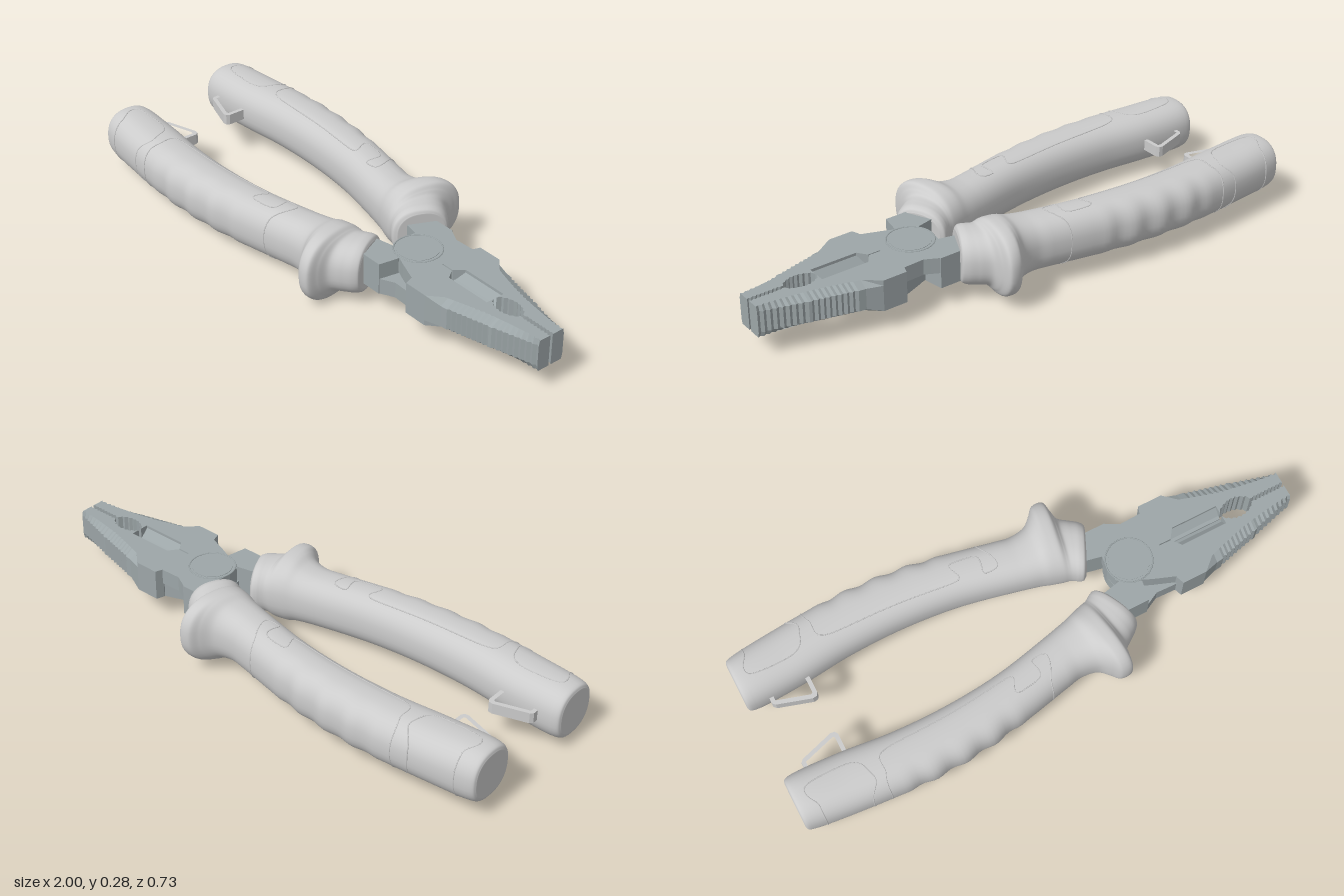
import * as THREE from 'three';

const gripMat = new THREE.MeshStandardMaterial({ color: 0xcccccc });
const steelMat = new THREE.MeshStandardMaterial({ color: 0x9da6a8 });
const H = 0.0575; // half thickness of the steel
const V = (x, y, z) => new THREE.Vector3(x, y, z);

function add(parent, name, geometry, material) {
  const mesh = new THREE.Mesh(geometry, material);
  mesh.name = name;
  parent.add(mesh);
  return mesh;
}

// Flat plate from an outline of [x, z] points, between heights y0 and y1
function plate(points, y0, y1, steps = 1, hole = null) {
  const toVec = ([x, z]) => new THREE.Vector2(x, -z);
  const shape = new THREE.Shape(points.map(toVec));
  if (hole) shape.holes.push(new THREE.Path(hole.map(toVec)));
  const g = new THREE.ExtrudeGeometry(shape, { depth: y1 - y0, steps, bevelEnabled: false });
  return g.rotateX(-Math.PI / 2).translate(0, y0, 0);
}

// Handle stations: inner x, inner z, outer x, outer z, half height
const stations = [
  [-1.0, .15, -1.0, .308, .078], [-.994, .138, -.994, .318, .09], [-.97, .132, -.97, .325, .097],
  [-.8, .138, -.8, .345, .098], [-.6, .158, -.6, .358, .098], [-.4, .16, -.4, .352, .098],
  [-.2, .142, -.2, .325, .098], [0, .1, 0, .283, .098], [.05, .088, .06, .272, .1],
  [.09, .078, .12, .282, .108], [.12, .068, .155, .312, .121], [.145, .06, .18, .338, .125],
  [.165, .054, .218, .337, .123], [.18, .05, .228, .30, .109], [.19, .046, .237, .262, .099],
  [.2, .04, .27, .235, .097], [.21, .033, .298, .214, .096], [.225, .027, .311, .198, .09],
  [.24, .036, .311, .188, .078],
];
const innerCurve = new THREE.CatmullRomCurve3(stations.map(s => V(s[0], s[4], s[1])));
const outerCurve = new THREE.CatmullRomCurve3(stations.map(s => V(s[2], s[4], s[3])));

// Point on the handle surface; angle 0 faces outwards, PI faces the other handle
function gripPoint(t, angle, scale = 1) {
  const a = innerCurve.getPoint(t), b = outerCurve.getPoint(t);
  const round = v => Math.sign(v) * Math.pow(Math.abs(v), 0.84);
  const c = round(Math.cos(angle)) * scale, s = round(Math.sin(angle)) * scale;
  const p = a.clone().lerp(b, 0.5 + 0.5 * c);
  p.y = -0.014 + a.y * s;
  // finger ridges
  const fade = THREE.MathUtils.smoothstep(p.x, -.68, -.58) * (1 - THREE.MathUtils.smoothstep(p.x, -.25, -.15));
  p.z += 0.005 * fade * Math.max(0, c) * Math.sin((p.x + .68) * Math.PI * 2 / .115);
  return p;
}

function gripGeometry() {
  const steps = (stations.length - 1) * 12, sides = 40, pos = [], index = [];
  const rings = [[0, 0], [0, .96]];
  for (let i = 0; i <= steps; i++) rings.push([i / steps, 1]);
  rings.push([1, .96], [1, 0]);
  rings.forEach(([t, scale], i) => {
    for (let j = 0; j < sides; j++) {
      pos.push(...gripPoint(t, j / sides * Math.PI * 2, scale).toArray());
      if (i === rings.length - 1) continue;
      const a = i * sides + j, b = i * sides + (j + 1) % sides;
      index.push(a, a + sides, b, b, a + sides, b + sides);
    }
  });
  const g = new THREE.BufferGeometry();
  g.setAttribute('position', new THREE.Float32BufferAttribute(pos, 3));
  g.setIndex(index);
  g.computeVertexNormals();
  return g;
}

// Closed seam line lying on the handle, from [x, angle] points on its upper half
function seamGeometry(half) {
  const mirrored = half.filter(p => p[1] > 0).reverse().map(([x, a]) => [x, -a]);
  const path = new THREE.CatmullRomCurve3([...half, ...mirrored].map(([x, a]) => V(x, a, 0)), true);
  const pts = path.getPoints(140).slice(0, -1).map(p => {
    let lo = 0, hi = 1;
    for (let k = 0; k < 18; k++) {
      const mid = (lo + hi) / 2;
      if (innerCurve.getPoint(mid).x < p.x) lo = mid; else hi = mid;
    }
    return gripPoint(lo, p.y);
  });
  return new THREE.TubeGeometry(new THREE.CatmullRomCurve3(pts, true), 280, .0022, 5, true);
}

// Zigzag between two points, offset in z
function zigzag(x0, z0, x1, z1, n, depth) {
  return Array.from({ length: n + 1 }, (_, i) => {
    const k = i / n;
    return [x0 + (x1 - x0) * k, z0 + (z1 - z0) * k + (i % 2 ? depth : 0)];
  });
}

function jawGeometry() {
  // outer ribs, tip teeth, then the toothed pipe grip
  const pipe = Array.from({ length: 15 }, (_, i) => {
    const k = i / 14;
    return [.87 - .12 * k, .006 + .028 * Math.pow(Math.sin(Math.PI * k), .7) + (i % 2 ? .005 : 0)];
  });
  const outline = [
    [.5, .002], [.5, .132], [.51, .161], [.6, .161], [.655, .143],
    ...zigzag(.68, .14, .83, .102, 16, -.006), ...zigzag(.84, .099, 1, .054, 16, -.006),
    ...zigzag(1, .005, .88, .005, 16, .005), ...pipe,
    [.75, .036], [.575, .036], [.55, .002],
  ].map(([x, z]) => [x, -z]);
  const g = plate(outline, -H, H, 6);
  // chamfer the outer edges above and below the ribs
  const p = g.attributes.position;
  for (let i = 0; i < p.count; i++) {
    const x = p.getX(i), z = p.getZ(i);
    if (Math.abs(p.getY(i)) > H - .005 && x > .64 && z < -.044)
      p.setZ(i, z + .032 * Math.min(1, (1.02 - x) / .15));
  }
  g.computeVertexNormals();
  return g;
}

// Wedge whose edge meets the opposite cutter along z = 0
function cutterGeometry() {
  const s = new THREE.Shape([[.04, -H + .006], [.04, H - .006], [.012, .022], [.001, .018], [.001, -.018], [.012, -.022]]
    .map(([z, y]) => new THREE.Vector2(z, y)));
  return new THREE.ExtrudeGeometry(s, { depth: .195, bevelEnabled: false }).rotateY(Math.PI / 2).translate(.555, 0, 0);
}

// One lever: grip and tang on +z, jaw on -z, lower half of the lap joint
function lever(name) {
  const g = new THREE.Group();
  g.name = name;
  add(g, 'grip', gripGeometry(), gripMat);
  add(g, 'endPadSeam', seamGeometry([[-.93, 0], [-.93, 1], [-.925, 1.75], [-.8, 1.85], [-.73, 1.3], [-.76, .5]]), gripMat);
  add(g, 'gripPadSeam', seamGeometry([[-.7, 0], [-.69, 1.2], [-.63, 1.9], [-.4, 2], [-.2, 2], [-.17, 1.35],
    [-.1, 1.3], [-.08, 1.95], [-.04, 1.85], [-.06, .8]]), gripMat);

  // lanyard eye on the inner side
  add(g, 'lanyardEye', plate(
    [[-.92, .15], [-.92, .112], [-.91, .102], [-.79, .064], [-.775, .066], [-.768, .078], [-.768, .15]],
    -.034, .006, 1,
    [[-.905, .142], [-.905, .116], [-.79, .08], [-.783, .084], [-.783, .142]]), gripMat);

  add(g, 'tang', plate([[.15, .16], [.375, .16], [.388, .088], [.36, .05], [.33, .05], [.26, .065], [.15, .09]], -H, H), steelMat);
  add(g, 'lapJoint', plate([
    [.37, .16], [.405, .142], [.425, .132], [.505, .135], [.505, -.13], [.425, -.1], [.39, -.085],
    [.345, -.078], [.31, -.045], [.3, 0], [.31, .06]], -H, 0), steelMat);
  add(g, 'jaw', jawGeometry(), steelMat);
  add(g, 'cutter', cutterGeometry(), steelMat);

  // rivet face and its rim
  add(g, 'pivot', new THREE.CylinderGeometry(.072, .072, .02, 40).translate(.385, -H + .0085, 0), steelMat);
  add(g, 'pivotRim', new THREE.TorusGeometry(.082, .0025, 6, 48).rotateX(Math.PI / 2).translate(.385, -H, 0), steelMat);
  return g;
}

export function createModel() {
  const model = new THREE.Group();
  model.name = 'pliers';
  const front = lever('frontLever');
  const back = lever('backLever');
  back.rotation.x = Math.PI; // the second lever is the first turned over
  front.position.y = back.position.y = 0.14;
  model.add(front, back);
  return model;
}
